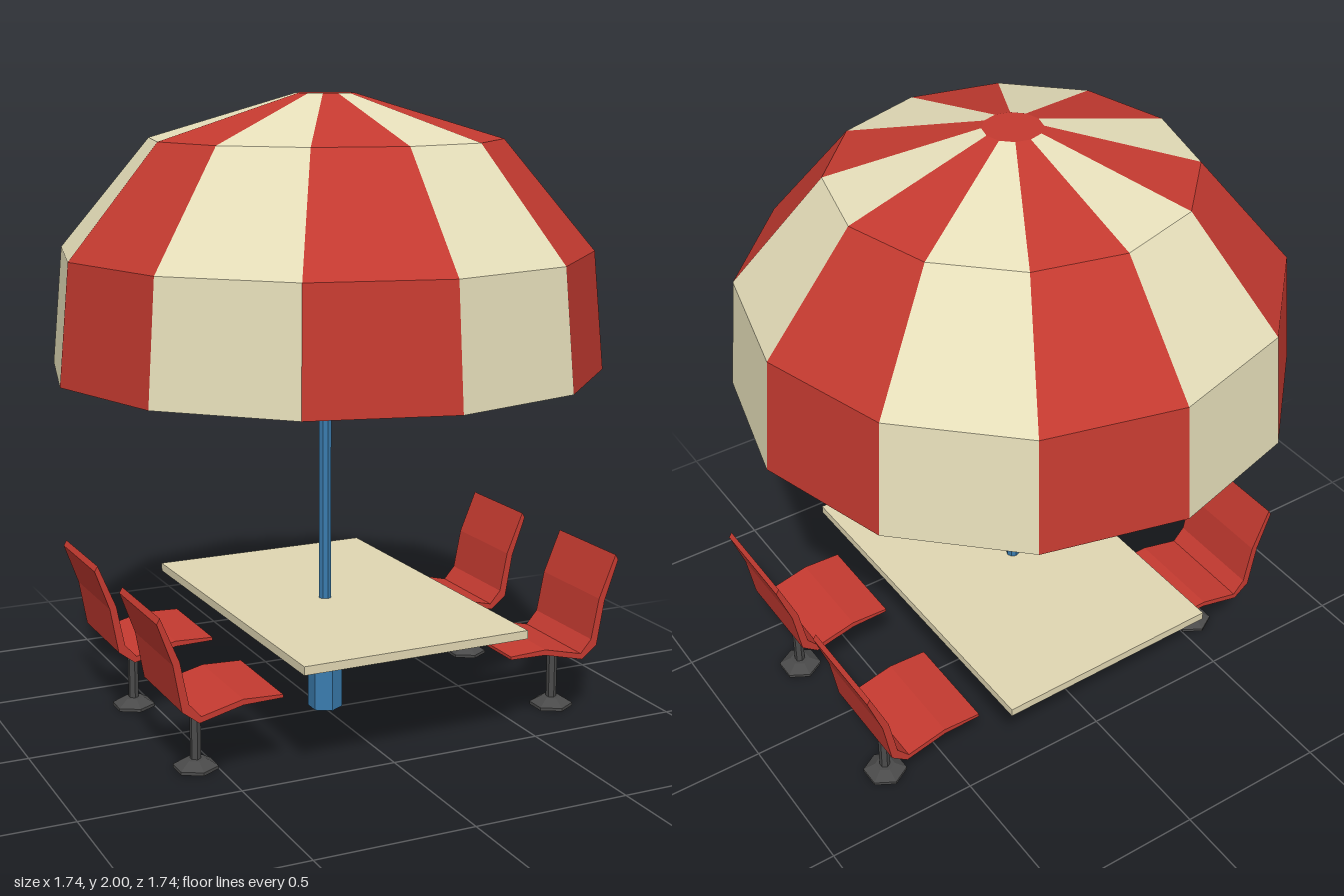
import * as THREE from 'three';

const material = (color, side = THREE.FrontSide) =>
  new THREE.MeshStandardMaterial({ color, flatShading: true, side });

export function createModel() {
  const model = new THREE.Group();
  model.name = 'parasolTable';
  const red = material(0xc43a30);
  const clothRed = material(0xc43a30, THREE.DoubleSide);
  const clothCream = material(0xe6dfba, THREE.DoubleSide);
  const cream = material(0xe0d6b2);
  const blue = material(0x3a7cae);
  const dark = material(0x4a4a4a);
  const TWIST = 0.0155; // slight turn of canopy and table

  const add = (parent, name, geometry, mat, x = 0, y = 0, z = 0) => {
    const mesh = new THREE.Mesh(geometry, mat);
    mesh.name = name;
    mesh.position.set(x, y, z);
    parent.add(mesh);
    return mesh;
  };

  // Canopy: twelve striped panels around a small flat cap
  const canopy = new THREE.Group();
  canopy.name = 'canopy';
  canopy.rotation.y = TWIST;
  model.add(canopy);
  const rib = [[0.87, 1.15], [0.835, 1.52], [0.55, 1.862], [0.09, 2]]
    .map(([r, y]) => new THREE.Vector2(r, y));
  const step = Math.PI / 6;
  for (let i = 0; i < 12; i++) {
    add(canopy, 'canopyPanel', new THREE.LatheGeometry(rib, 1, i * step, step),
      i % 2 ? clothRed : clothCream);
  }
  const cap = new THREE.CircleGeometry(0.09, 12).rotateX(-Math.PI / 2);
  add(canopy, 'canopyCap', cap, clothRed, 0, 2, 0);

  // Pole and its hexagonal foot
  add(model, 'pole', new THREE.CylinderGeometry(0.021, 0.021, 1.84, 8), blue, 0, 1.075, 0);
  add(model, 'poleBase', new THREE.CylinderGeometry(0.056, 0.056, 0.15, 6), blue, 0, 0.09, 0);

  // Table top
  add(model, 'tableTop', new THREE.BoxGeometry(0.755, 0.027, 1.17), cream, 0.035, 0.373, -0.01)
    .rotation.y = 0.0125;

  // Chairs: bent shell profile, as x and y, on a post with a flared foot
  const profile = [
    [-0.726, 0.547], [-0.668, 0.408], [-0.642, 0.276], [-0.604, 0.233], [-0.472, 0.265], [-0.345, 0.26],
    [-0.345, 0.25], [-0.472, 0.247], [-0.61, 0.213], [-0.663, 0.254], [-0.689, 0.4], [-0.736, 0.53],
  ];
  const footProfile = [[0, 0.004], [0.07, 0.004], [0.07, 0.014], [0.032, 0.036], [0, 0.036]]
    .map(([r, y]) => new THREE.Vector2(r, y));
  const width = 0.332;
  for (const { side, legX } of [{ side: 'right', legX: -0.562 }, { side: 'left', legX: 0.692 }]) {
    const points = profile.map(([x, y]) => new THREE.Vector2(side === 'left' ? 0.09 - x : x, y));
    for (const z of [0.283, -0.291]) {
      const chair = new THREE.Group();
      chair.name = side + 'Chair';
      chair.position.z = z;
      model.add(chair);
      const shell = new THREE.ExtrudeGeometry(new THREE.Shape(points), { depth: width, bevelEnabled: false });
      add(chair, 'seatShell', shell, red, 0, 0, -width / 2);
      add(chair, 'chairPost', new THREE.CylinderGeometry(0.017, 0.017, 0.19, 6), dark, legX, 0.125, 0);
      add(chair, 'chairFoot', new THREE.LatheGeometry(footProfile, 6), dark, legX, 0, 0);
    }
  }
  return model;
}
